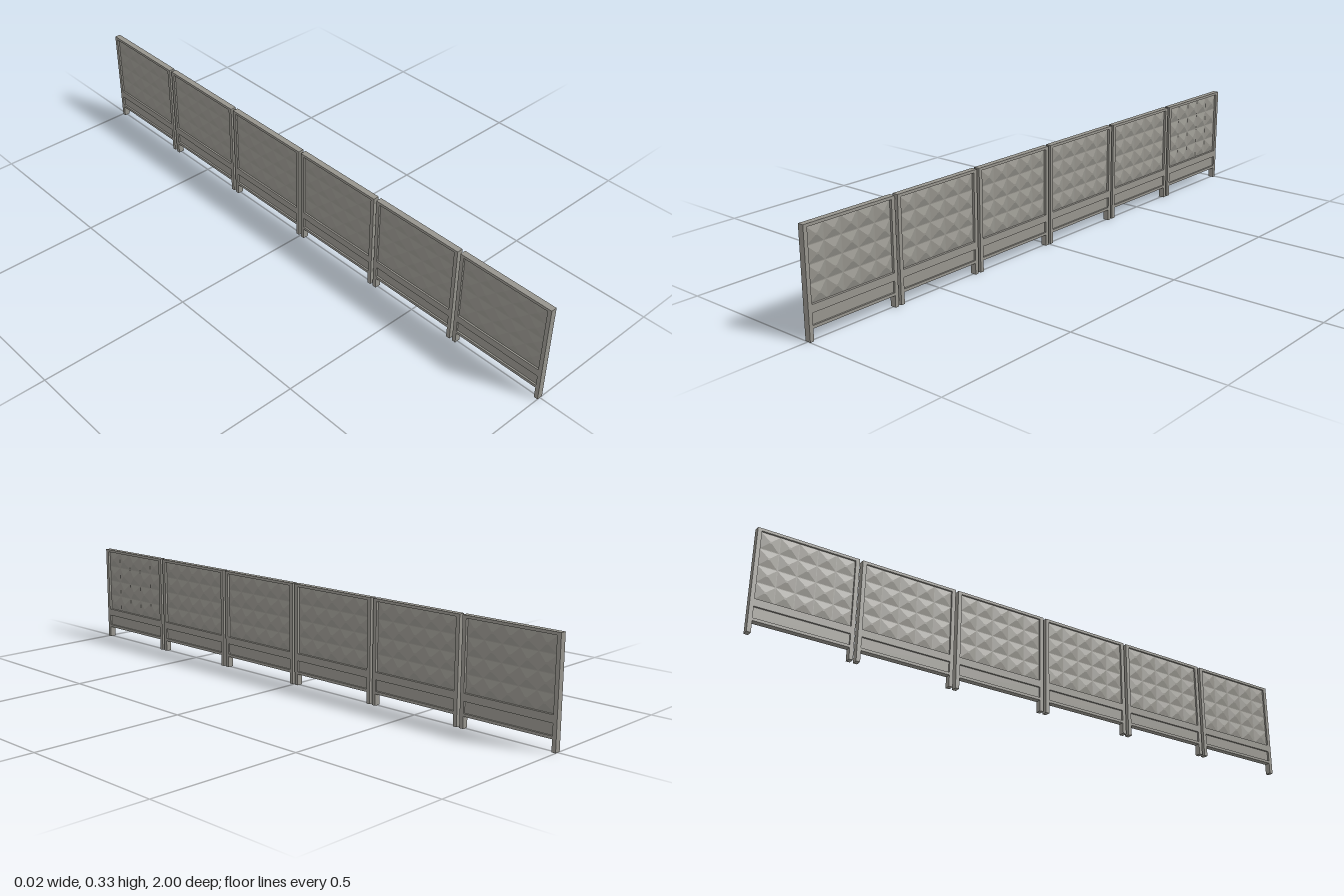
import * as THREE from 'three';
import { mergeGeometries } from 'three/addons/utils/BufferGeometryUtils.js';

const PANELS = 6, WIDTH = 0.325, PITCH = 0.335, HEIGHT = 0.334, DEPTH = 0.02;
const POST = 0.013, COLS = 5, ROWS = 4;
const WIN = { y0: 0.106, y1: 0.325 };   // window holding the pyramids
const STRIP = { y0: 0.046, y1: 0.082 }; // recessed strip of the plinth

function rectHole(y0, y1) {
  const w = WIDTH / 2 - POST;
  return new THREE.Path([[-w, y0], [-w, y1], [w, y1], [w, y0]].map(([x, y]) => new THREE.Vector2(x, y)));
}

// Border, rails and both legs as one extruded outline, turned to run along z
function frameGeometry() {
  const w = WIDTH / 2, i = w - POST, b = 0.037;
  const shape = new THREE.Shape([
    [-w, 0], [-i, 0], [-i, b], [i, b], [i, 0], [w, 0], [w, HEIGHT], [-w, HEIGHT],
  ].map(([x, y]) => new THREE.Vector2(x, y)));
  shape.holes.push(rectHole(WIN.y0, WIN.y1), rectHole(STRIP.y0, STRIP.y1));
  const g = new THREE.ExtrudeGeometry(shape, { depth: DEPTH, bevelEnabled: false });
  return g.translate(0, 0, -DEPTH / 2).rotateY(Math.PI / 2);
}

// Grid of blunt pyramids on one face; side is +1 or -1 along x
function pyramidGeometry(side, base, height) {
  const cw = (WIDTH - 2 * POST) / COLS, ch = (WIN.y1 - WIN.y0) / ROWS;
  const tiles = [];
  for (let c = 0; c < COLS; c++) {
    for (let r = 0; r < ROWS; r++) {
      const g = new THREE.CylinderGeometry(0.12 * Math.SQRT1_2, 0.96 * Math.SQRT1_2, height, 4, 1);
      g.rotateY(Math.PI / 4).scale(ch, 1, cw);
      g.rotateZ(-side * Math.PI / 2);
      g.translate(side * (base + height / 2), WIN.y0 + (r + 0.5) * ch, (c + 0.5 - COLS / 2) * cw);
      tiles.push(g);
    }
  }
  return mergeGeometries(tiles);
}

export function createModel() {
  const concrete = new THREE.MeshStandardMaterial({ color: 0x96948d, flatShading: true });
  concrete.name = 'concrete grey';

  const slab = (y0, y1, x0, x1) => new THREE.BoxGeometry(x1 - x0, y1 - y0, WIDTH - 2 * POST)
    .translate((x0 + x1) / 2, (y0 + y1) / 2, 0);
  const parts = {
    frame: frameGeometry(),
    panelSlab: slab(WIN.y0, WIN.y1, -0.004, 0.002),
    plinthStrip: slab(STRIP.y0, STRIP.y1, -0.004, 0.004),
    frontPyramids: pyramidGeometry(1, 0.002, 0.007),
    backPyramids: pyramidGeometry(-1, 0.004, 0.004),
  };

  const fence = new THREE.Group();
  fence.name = 'concreteFence';
  for (let p = 0; p < PANELS; p++) {
    const section = new THREE.Group();
    section.name = `fenceSection${p + 1}`;
    for (const [name, geometry] of Object.entries(parts)) {
      const mesh = new THREE.Mesh(geometry, concrete);
      mesh.name = name;
      section.add(mesh);
    }
    section.position.z = (p - (PANELS - 1) / 2) * PITCH;
    fence.add(section);
  }
  return fence;
}
